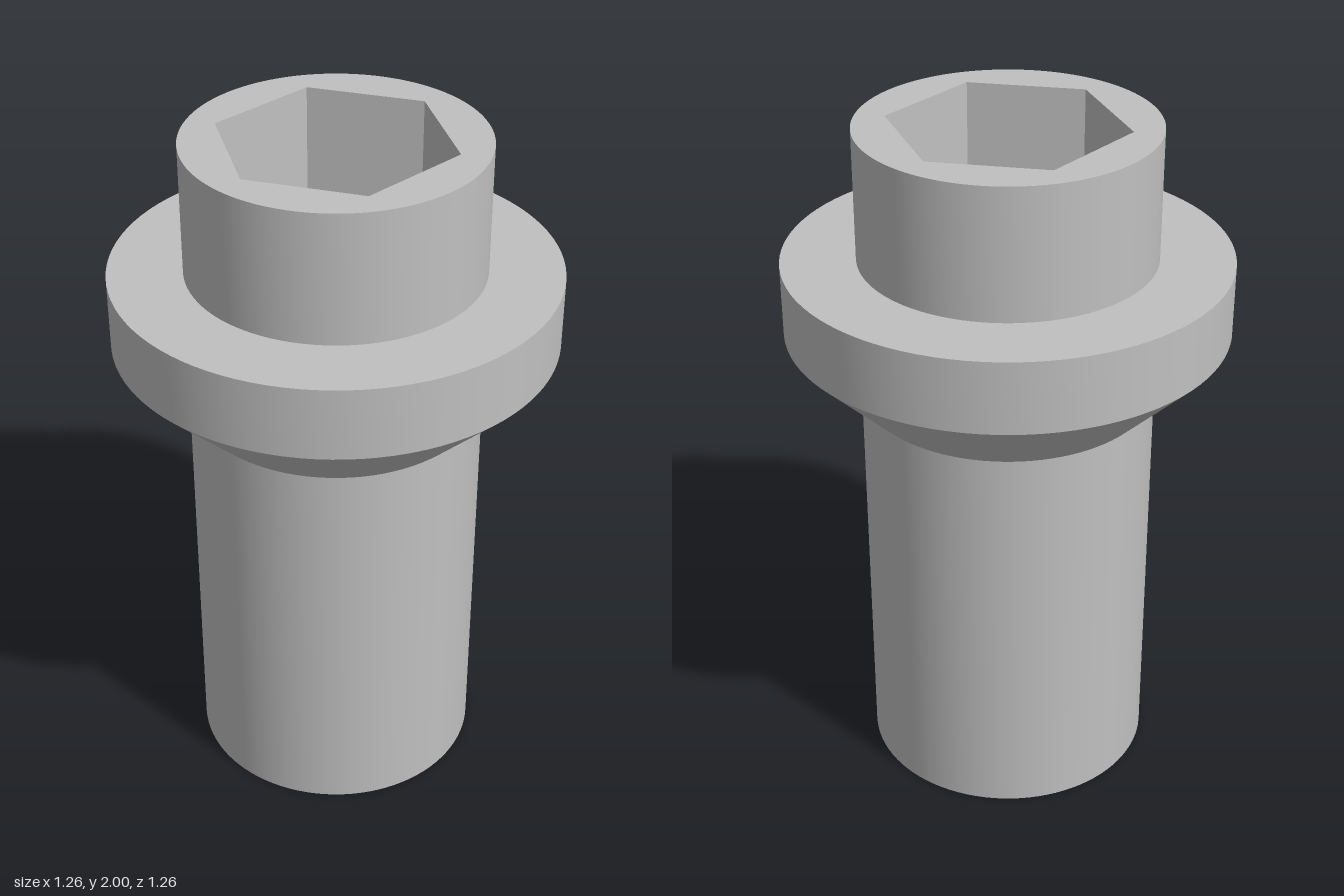
import * as THREE from 'three';
import { toCreasedNormals } from 'three/addons/utils/BufferGeometryUtils.js';

const SEGMENTS = 96;
const HEIGHT = 2;
const BODY_R = 0.421;
const COLLAR_R = 0.632;
const HEX_R = 0.338; // centre to corner

export function createModel() {
  const group = new THREE.Group();
  group.name = 'hexSleeve';
  const metal = new THREE.MeshStandardMaterial({ color: 0xc0c0c0 });
  metal.name = 'light grey metal';

  const add = (name, geometry) => {
    const mesh = new THREE.Mesh(geometry, metal);
    mesh.name = name;
    group.add(mesh);
    return mesh;
  };

  // Revolved surface: upward profiles face outward, downward ones face inward
  const revolve = (points, sides, start = 0) => toCreasedNormals(
    new THREE.LatheGeometry(points.map(([r, y]) => new THREE.Vector2(r, y)), sides, start),
    Math.PI / 6
  );

  // Outer walls: long body, flared collar, short upper neck
  add('body', revolve([[BODY_R, 0], [BODY_R, 1.2]], SEGMENTS));
  add('collar', revolve([[BODY_R, 1.2], [COLLAR_R, 1.41], [COLLAR_R, 1.62], [BODY_R, 1.62]], SEGMENTS));
  add('neck', revolve([[BODY_R, 1.62], [BODY_R, HEIGHT]], SEGMENTS));

  // Hexagonal through-hole, corners on the x axis
  add('hexBore', revolve([[HEX_R, HEIGHT], [HEX_R, 0]], 6, Math.PI / 2));

  // End rings: round outside, hexagonal inside
  const ring = new THREE.Shape().absarc(0, 0, BODY_R, 0, Math.PI * 2);
  const corners = [];
  for (let i = 0; i < 6; i++) {
    const a = -i * Math.PI / 3;
    corners.push(new THREE.Vector2(HEX_R * Math.cos(a), HEX_R * Math.sin(a)));
  }
  ring.holes.push(new THREE.Path(corners));
  const face = new THREE.ShapeGeometry(ring, SEGMENTS);
  add('topFace', face.clone().rotateX(-Math.PI / 2)).position.y = HEIGHT;
  add('bottomFace', face.clone().rotateX(Math.PI / 2));

  return group;
}
